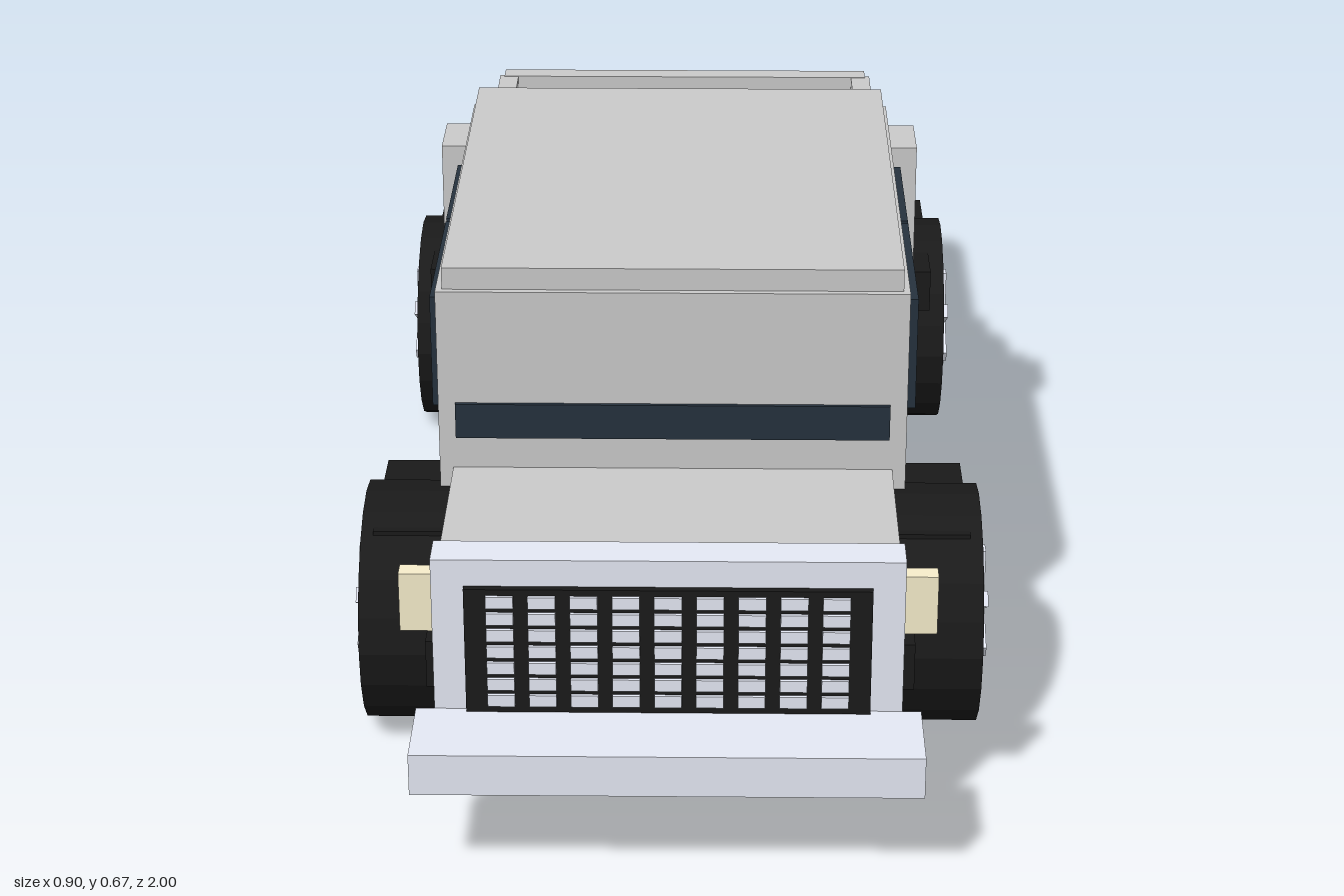
import * as THREE from 'three';

const mat = (color) => new THREE.MeshStandardMaterial({ color, flatShading: true });

export function createModel() {
  const model = new THREE.Group();
  model.name = 'pickupTruck';
  const body = mat(0xcccccc), chrome = mat(0xe6eaf6), black = mat(0x1a1a1a);
  const glass = mat(0x26323e), lamp = mat(0xf8efcc), red = mat(0xe02a2a);

  // Box given by its minimum and maximum on each axis
  function box(name, material, x0, x1, y0, y1, z0, z1, parent = model) {
    const mesh = new THREE.Mesh(new THREE.BoxGeometry(x1 - x0, y1 - y0, z1 - z0), material);
    mesh.position.set((x0 + x1) / 2, (y0 + y1) / 2, (z0 + z1) / 2);
    mesh.name = name;
    parent.add(mesh);
    return mesh;
  }
  // The same box on both sides
  function pair(name, material, x0, x1, ...rest) {
    box(name + 'Left', material, x0, x1, ...rest);
    box(name + 'Right', material, -x1, -x0, ...rest);
  }

  // Chassis, hood and cab
  box('chassis', black, -0.335, 0.335, 0.145, 0.215, -0.86, 0.725);
  box('hood', body, -0.31, 0.31, 0.283, 0.367, 0.48, 0.83);
  box('cab', body, -0.329, 0.329, 0.225, 0.635, -0.29, 0.49);
  box('roof', body, -0.32, 0.32, 0.635, 0.667, -0.28, 0.48);
  box('windshield', glass, -0.305, 0.305, 0.415, 0.467, 0.48, 0.496);
  pair('frontSideWindow', glass, 0.32, 0.348, 0.408, 0.577, 0.075, 0.37);
  pair('rearSideWindow', glass, 0.32, 0.348, 0.408, 0.577, -0.168, 0.064);
  pair('rearPillar', body, 0.325, 0.375, 0.265, 0.598, -0.302, -0.198);

  // Cargo bed, open at the top and toward the cab
  box('bedFloor', body, -0.325, 0.325, 0.245, 0.275, -0.955, -0.31);
  pair('bedWall', body, 0.3, 0.333, 0.26, 0.46, -0.95, -0.31);
  box('tailgate', body, -0.325, 0.325, 0.264, 0.461, -0.977, -0.94);
  pair('tailLight', red, 0.183, 0.276, 0.308, 0.37, -1, -0.97);

  // Grille, headlights and bumper
  box('grilleShell', chrome, -0.31, 0.31, 0.165, 0.42, 0.823, 0.878);
  box('grillePanel', black, -0.267, 0.267, 0.2, 0.382, 0.87, 0.888);
  const slots = new THREE.Group();
  slots.name = 'grilleSlots';
  model.add(slots);
  for (let col = -4; col <= 4; col++) {
    for (let row = 0; row < 7; row++) {
      const x = col * 0.055, y = 0.219 + row * 0.0243;
      box('grilleSlot', chrome, x - 0.018, x + 0.018, y - 0.0085, y + 0.0085, 0.884, 0.893, slots);
    }
  }
  pair('headlight', lamp, 0.3, 0.353, 0.31, 0.394, 0.842, 0.868);
  box('bumper', chrome, -0.335, 0.335, 0.14, 0.199, 0.878, 1);

  // Wheel arches
  pair('frontWheelArch', black, 0.31, 0.415, 0.25, 0.32, 0.37, 0.6);
  pair('rearWheelArch', black, 0.31, 0.415, 0.25, 0.32, -0.694, -0.362);

  // Wheels with six spokes
  function wheel(name, side, z, outer) {
    const group = new THREE.Group();
    group.name = name;
    const tire = new THREE.Mesh(new THREE.CylinderGeometry(0.17, 0.17, 0.135, 20), black);
    tire.rotation.z = Math.PI / 2;
    tire.name = 'tire';
    group.add(tire);
    for (let i = 0; i < 3; i++) {
      const spoke = new THREE.Mesh(new THREE.BoxGeometry(0.024, 0.17, 0.022), chrome);
      spoke.position.x = side * 0.068;
      spoke.rotation.x = i * Math.PI / 3;
      spoke.name = 'spokeBar';
      group.add(spoke);
    }
    group.position.set(side * (outer - 0.0675), 0.17, z);
    model.add(group);
  }
  for (const [label, side] of [['Left', 1], ['Right', -1]]) {
    wheel('frontWheel' + label, side, 0.512, 0.432);
    wheel('rearWheel' + label, side, -0.524, 0.44);
  }
  return model;
}
